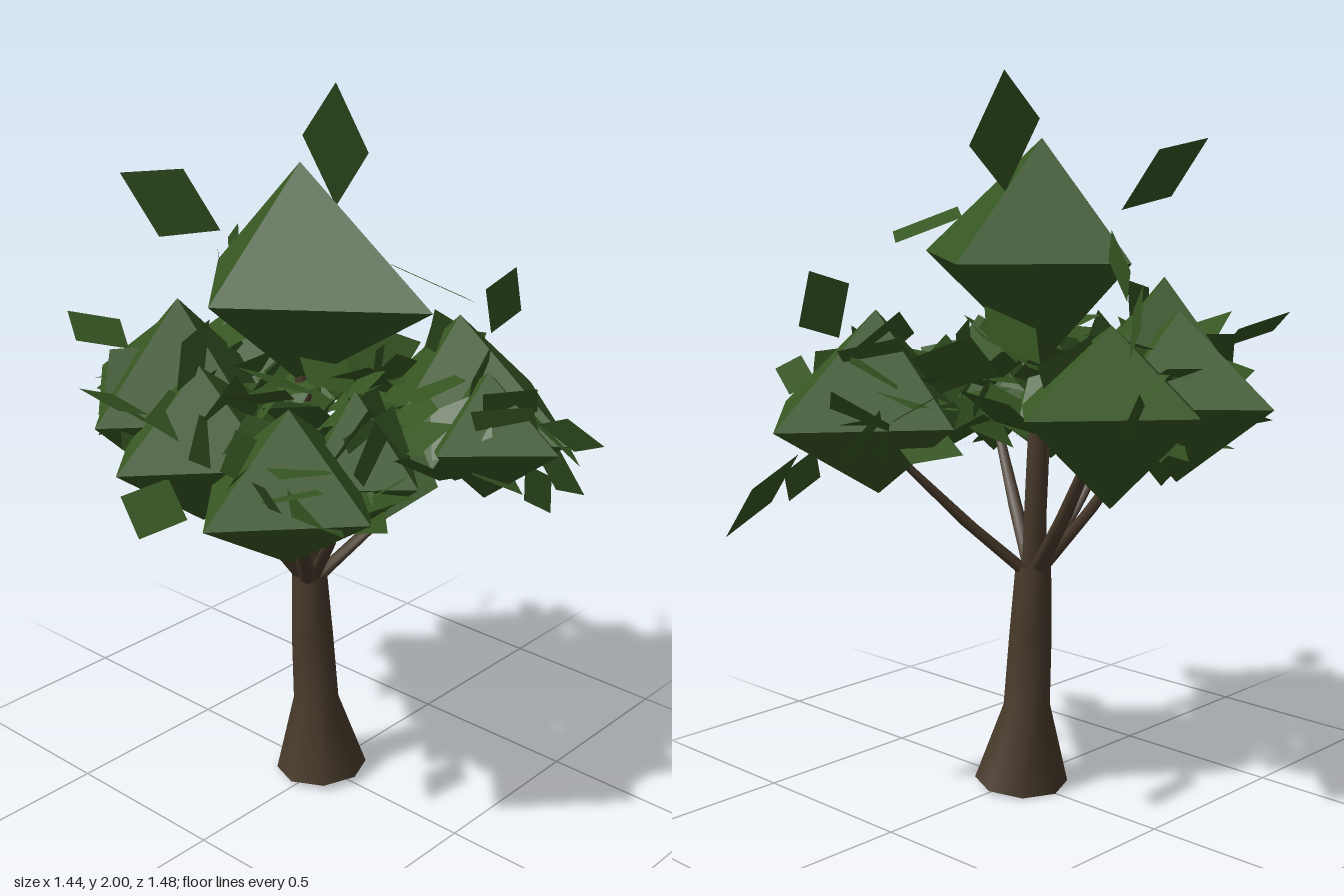
import * as THREE from 'three';
import { mergeVertices } from 'three/addons/utils/BufferGeometryUtils.js';

const V = (x, y, z) => new THREE.Vector3(x, y, z);

// Seeded random numbers for the small scattered leaves
let seed = 11;
const rand = (a, b) => {
  seed = (seed * 16807) % 2147483647;
  return a + (b - a) * (seed / 2147483647);
};

// Octahedron with its own reach in each of the six directions
function clumpGeometry([cx, cy, cz], [left, right, top, bottom, front, back]) {
  const g = new THREE.OctahedronGeometry(1, 0);
  const p = g.attributes.position;
  for (let i = 0; i < p.count; i++) {
    const x = p.getX(i), y = p.getY(i), z = p.getZ(i);
    p.setXYZ(i,
      cx + x * (x < 0 ? cx - left : right - cx),
      cy + y * (y < 0 ? cy - bottom : top - cy),
      cz + z * (z < 0 ? cz - back : front - cz));
  }
  g.computeVertexNormals();
  return g;
}

// Parallelogram leaf from three successive corners
function leafGeometry(a, b, c) {
  const d = a.clone().add(c).sub(b);
  const g = new THREE.BufferGeometry().setFromPoints([a, b, c, a, c, d]);
  g.computeVertexNormals();
  return g;
}

// Leaf of the usual size, turned at random about a centre
function scatteredLeaf(centre) {
  const turn = new THREE.Euler(rand(-1.2, 1.2), rand(0, 6.28), rand(-1, 1));
  const length = rand(0.11, 0.13);
  const corners = [V(length, 0, 0), V(0.015, 0, 0.095), V(-length, 0, 0)];
  return leafGeometry(...corners.map((v) => v.applyEuler(turn).add(centre)));
}

// Smooth tapering tube through rings of [x, y, z, radius], foot tilted by slope
function limbGeometry(rings, sides, slope = 0) {
  const tube = new THREE.CylinderGeometry(1, 1, 1, sides, rings.length - 1, true);
  const p = tube.attributes.position;
  for (let i = 0; i < p.count; i++) {
    const ring = rings.length - 1 - Math.floor(i / (sides + 1));
    const [x, y, z, r] = rings[ring];
    const pz = z + p.getZ(i) * r;
    p.setXYZ(i, x + p.getX(i) * r, ring ? y : y + pz * slope, pz);
  }
  tube.deleteAttribute('uv');
  tube.deleteAttribute('normal');
  const g = mergeVertices(tube, 1e-5);
  g.computeVertexNormals();
  return g;
}

export function createModel() {
  const model = new THREE.Group();
  const bark = new THREE.MeshStandardMaterial({ color: 0x483a2b, side: THREE.DoubleSide });
  bark.name = 'bark brown';
  const green = new THREE.MeshStandardMaterial({ color: 0x365622, side: THREE.DoubleSide });
  green.name = 'leaf green';
  const add = (name, geometry, material, parent = model) => {
    const mesh = new THREE.Mesh(geometry, material);
    mesh.name = name;
    parent.add(mesh);
  };

  // Flared, hollow trunk with a slightly tilted foot
  add('trunk', limbGeometry([
    [0.002, 0.012, -0.01, 0.133], [-0.003, 0.24, -0.027, 0.066],
    [-0.01, 0.45, -0.035, 0.06], [-0.016, 0.65, -0.04, 0.05],
  ], 8, 0.075), bark);

  // Branches fanning out to the foliage, each end as [x, y, z, start radius]
  const branches = new THREE.Group();
  branches.name = 'branches';
  const ends = [
    [-0.015, 1.4, -0.07, 0.036], [0.32, 1.0, 0.19, 0.026], [-0.31, 1.0, 0.18, 0.026],
    [-0.14, 1.03, 0.23, 0.024], [0.07, 1.1, -0.37, 0.028],
    [-0.15, 1.1, -0.38, 0.026], [-0.3, 1.05, -0.13, 0.024],
  ];
  ends.forEach(([x, y, z, r]) => add('branch', limbGeometry([
    [-0.016, 0.61, -0.04, r],
    [-0.016 + (x + 0.016) * 0.45, 0.61 + (y - 0.61) * 0.42, -0.04 + (z + 0.04) * 0.45, r * 0.85],
    [x, y, z, r * 0.5],
  ], 6), bark, branches));
  model.add(branches);

  // Foliage clumps: centre, then left, right, top, bottom, front, back limits
  const foliage = new THREE.Group();
  foliage.name = 'foliage';
  const clumps = [
    [[-0.015, 1.51, -0.07], [-0.36, 0.31, 1.83, 1.22, 0.386, -0.386]],
    [[0.36, 1.09, 0.185], [0.04, 0.715, 1.38, 0.88, 0.577, -0.11]],
    [[-0.35, 1.065, 0.2], [-0.655, -0.05, 1.3, 0.875, 0.475, -0.07]],
    [[0.28, 1.09, 0.35], [0.06, 0.48, 1.27, 0.9, 0.59, 0.12]],
    [[-0.155, 1.095, 0.25], [-0.36, 0.06, 1.31, 0.92, 0.465, 0.05]],
    [[0.08, 1.15, -0.4], [-0.22, 0.405, 1.36, 0.88, -0.08, -0.69]],
    [[-0.16, 1.15, -0.43], [-0.44, 0.12, 1.38, 0.92, -0.14, -0.74]],
    [[-0.24, 1.17, -0.315], [-0.55, 0.07, 1.46, 0.88, -0.03, -0.6]],
    [[-0.35, 1.12, -0.12], [-0.65, -0.05, 1.34, 0.9, 0.15, -0.38]],
  ];
  clumps.forEach(([c, limits]) => add('leafClump', clumpGeometry(c, limits), green, foliage));
  model.add(foliage);

  // Large loose leaves standing clear of the clumps
  const leaves = new THREE.Group();
  leaves.name = 'leaves';
  const crownLeaves = [
    [0.206, 2.0, -0.143, 0.26, 1.81, -0.07, 0.116, 1.69, -0.06],
    [-0.418, 1.83, -0.32, -0.185, 1.8, -0.335, -0.14, 1.64, -0.245],
    [0, 1.56, 0.51, -0.09, 1.635, 0.33, 0, 1.61, 0.22],
    [0.06, 1.6, -0.38, 0.17, 1.51, -0.535, 0.14, 1.43, -0.5],
    [0.08, 1.4, -0.47, 0.15, 1.48, -0.56, 0.21, 1.37, -0.6],
    [-0.45, 1.3, -0.1, -0.39, 1.41, -0.14, -0.27, 1.44, -0.16],
  ];
  const outerLeaves = [
    [0.54, 1.49, 0.24, 0.587, 1.35, 0.23, 0.46, 1.31, 0.22],
    [0.55, 1.0, 0.29, 0.71, 0.93, 0.285, 0.714, 0.783, 0.4],
    [0.52, 1.12, -0.01, 0.57, 1.16, -0.06, 0.72, 1.08, -0.1],
    [-0.35, 1.38, -0.65, -0.22, 1.34, -0.58, -0.26, 1.28, -0.5],
    [-0.655, 1.33, -0.24, -0.5, 1.26, -0.295, -0.47, 1.22, -0.185],
    [-0.72, 1.02, 0.04, -0.68, 1.09, -0.07, -0.535, 1.1, -0.05],
    [-0.66, 1.2, 0.43, -0.625, 1.23, 0.34, -0.53, 1.17, 0.29],
    [-0.21, 1.19, 0.62, -0.245, 1.22, 0.5, -0.19, 1.17, 0.41],
    [0.27, 1.16, 0.735, 0.265, 1.21, 0.62, 0.31, 1.15, 0.5],
    [0.34, 1.05, 0.62, 0.31, 1.14, 0.5, 0.36, 1.19, 0.41],
    [0.32, 1.24, -0.69, 0.28, 1.14, -0.61, 0.21, 1.1, -0.57],
    [0.32, 1.24, -0.2, 0.33, 1.15, -0.15, 0.26, 1.1, -0.08],
    [0.4, 0.98, 0.4, 0.49, 0.92, 0.43, 0.45, 0.83, 0.46],
  ];
  [...crownLeaves, ...outerLeaves].forEach(([a, b, c, d, e, f, g, h, i]) =>
    add('looseLeaf', leafGeometry(V(a, b, c), V(d, e, f), V(g, h, i)), green, leaves));

  // Small leaves scattered over the surfaces of the lower clumps
  clumps.slice(1).forEach(([c, [l, r, t, b, f, k]]) => {
    for (let n = 0; n < 11; n++) {
      const d = V(rand(-1, 1), rand(-0.7, 1), rand(-1, 1));
      d.multiplyScalar(0.86 / (Math.abs(d.x) + Math.abs(d.y) + Math.abs(d.z)));
      add('smallLeaf', scatteredLeaf(V(
        c[0] + d.x * (d.x < 0 ? c[0] - l : r - c[0]),
        c[1] + d.y * (d.y < 0 ? c[1] - b : t - c[1]),
        c[2] + d.z * (d.z < 0 ? c[2] - k : f - c[2]))), green, leaves);
    }
  });

  // Inner leaves filling the hollow under the crown
  for (let n = 0; n < 48; n++) {
    const angle = n * 2.4, reach = rand(0.06, 0.36);
    add('innerLeaf', scatteredLeaf(V(
      -0.03 + reach * Math.cos(angle), rand(1.04, 1.34), reach * Math.sin(angle))), green, leaves);
  }
  model.add(leaves);
  return model;
}
